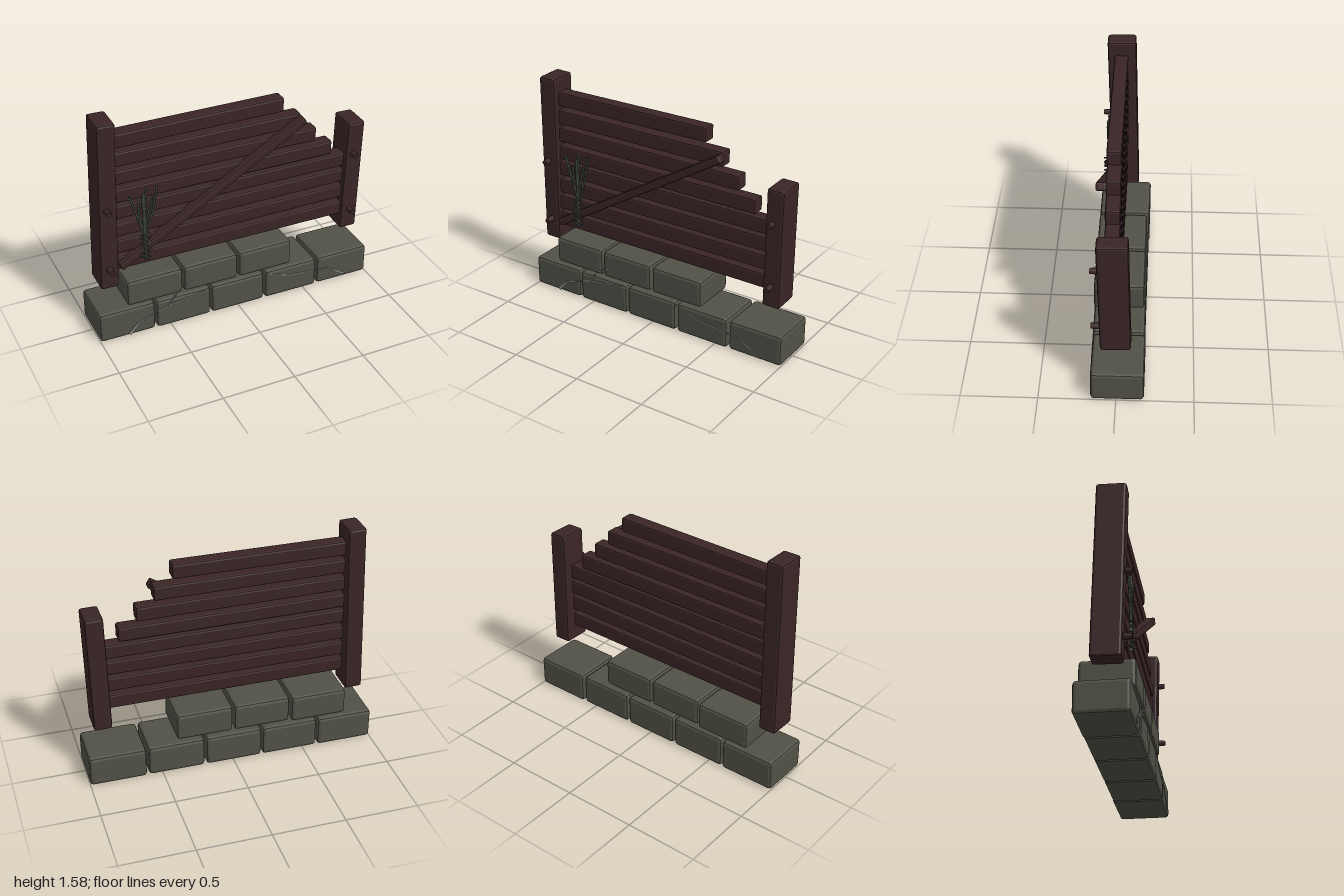
import * as THREE from 'three';
import { RoundedBoxGeometry } from 'three/addons/geometries/RoundedBoxGeometry.js';

const mat = (name, color, side = THREE.FrontSide) =>
  Object.assign(new THREE.MeshStandardMaterial({ color, side }), { name });

export function createModel() {
  const wood = mat('darkWood', 0x3a2526);
  const stone = mat('mossyStone', 0x515147);
  const crackGrey = mat('crackGrey', 0x8a8a88, THREE.DoubleSide);
  const green = mat('dryGreen', 0x3d463c);

  const model = new THREE.Group();
  model.name = 'brokenFence';
  const add = (name, geometry, material, x = 0, y = 0, z = 0, parent = model) => {
    const mesh = new THREE.Mesh(geometry, material);
    mesh.name = name;
    mesh.position.set(x, y, z);
    parent.add(mesh);
    return mesh;
  };

  // box with a single flat chamfer on every edge
  const chamferBox = (w, h, d, c) => {
    const g = new RoundedBoxGeometry(w, h, d, 1, c);
    g.computeVertexNormals();
    return g;
  };

  // stone courses: [x, y, z] centres
  const lower = [[-0.806, -0.008], [-0.405, -0.004], [-0.004, -0.004], [0.4, -0.004], [0.805, -0.008]];
  lower.forEach(([x, z], i) =>
    add('lowerStone' + (i + 1), chamferBox(0.39, 0.213, 0.344, 0.022), stone, x, 0.1065, z));
  const upper = [[-0.607, -0.007], [-0.205, 0.002], [0.198, 0.002]];
  upper.forEach(([x, z], i) =>
    add('upperStone' + (i + 1), chamferBox(0.39, 0.19, i ? 0.336 : 0.352, 0.022), stone, x, 0.333, z));

  // pebbles wedged in the joints
  for (const x of [-0.607, 0.603]) {
    add('jointPebble', chamferBox(0.024, 0.075, 0.04, 0.006), crackGrey, x, 0.08, -0.03);
  }

  // leaning posts
  const post = (name, x, height) => {
    const p = add(name, chamferBox(0.124, height, 0.195, 0.016), wood, x, 0.372 + height / 2, 0.003 + height * 0.012);
    p.rotation.set(0.023, 0, -0.019);
  };
  post('rightPost', -0.882, 1.205);
  post('leftPost', 0.882, 0.83);

  // planks from top to bottom: [right end, centre height, tilt]
  const planks = [
    [0.36, 1.426, 0.003], [0.485, 1.292, -0.003], [0.605, 1.162, -0.005], [0.728, 1.032, -0.004],
    [0.85, 0.915, -0.002], [0.85, 0.788, 0.004], [0.85, 0.662, 0.004], [0.85, 0.533, -0.002],
  ];
  planks.forEach(([end, y, tilt], i) => {
    const start = -0.86;
    const plank = add('plank' + (i + 1), chamferBox(end - start, 0.102, 0.095, 0.013), wood, (start + end) / 2, y, 0.033);
    plank.rotation.z = tilt;
  });

  // diagonal brace nailed over the planks
  const from = new THREE.Vector3(-0.815, 0.515, 0.085);
  const to = new THREE.Vector3(0.492, 1.315, 0.107);
  const brace = add('brace', chamferBox(0.068, 0.055, from.distanceTo(to), 0.012), wood);
  brace.position.copy(from).lerp(to, 0.5);
  brace.lookAt(to);

  // bolts on the posts
  for (const x of [-0.892, 0.873]) {
    for (const y of [0.522, 0.967]) {
      add('bolt', new THREE.CylinderGeometry(0.018, 0.022, 0.06, 10), wood, x, y, 0.13).rotation.x = Math.PI / 2;
    }
  }

  // cracks: tapering thin ribbons through [x, y, width]
  const crack = (points, z) => {
    const left = [], right = [];
    points.forEach(([x, y, w], i) => {
      const a = points[Math.max(i - 1, 0)], b = points[Math.min(i + 1, points.length - 1)];
      const dx = b[0] - a[0], dy = b[1] - a[1], k = w / 2 / Math.hypot(dx, dy);
      left.push(new THREE.Vector2(x - dy * k, y + dx * k));
      right.unshift(new THREE.Vector2(x + dy * k, y - dx * k));
    });
    const shape = new THREE.Shape([...left, ...right]);
    add('crack', new THREE.ExtrudeGeometry(shape, { depth: 0.005, bevelEnabled: false }), crackGrey, 0, 0, z);
  };
  crack([[-0.8, 0.015, 0.024], [-0.725, 0.09, 0.012], [-0.6, 0.137, 0.006], [-0.52, 0.163, 0.006],
    [-0.4, 0.18, 0.005], [-0.25, 0.203, 0.003]], 0.167);
  crack([[-0.52, 0.163, 0.008], [-0.46, 0.245, 0.007], [-0.42, 0.28, 0.005], [-0.34, 0.315, 0.003]], 0.171);
  crack([[0.2, 0.205, 0.003], [0.38, 0.143, 0.006], [0.54, 0.127, 0.006], [0.69, 0.115, 0.008],
    [0.77, 0.065, 0.012], [0.845, 0.018, 0.006]], 0.167);

  // dried plant: stems fanning out of one stalk
  const plant = new THREE.Group();
  plant.name = 'driedPlant';
  plant.position.set(-0.645, 0, 0.115);
  model.add(plant);
  const stems = [
    [[0, 0.54], [0, 0.8], [-0.002, 1.04]],
    [[0, 0.72], [-0.045, 0.87], [-0.095, 1.04]],
    [[0, 0.72], [0.055, 0.87], [0.095, 1.075]],
    [[0, 0.74], [-0.03, 0.85], [-0.035, 0.98]],
    [[0, 0.74], [0.028, 0.88], [0.06, 1.0]],
    [[0, 0.76], [0.008, 0.92], [0.018, 1.07]],
  ];
  stems.forEach((pts, i) => {
    const curve = new THREE.CatmullRomCurve3(pts.map(([x, y]) => new THREE.Vector3(x, y, 0)));
    add('stem', new THREE.TubeGeometry(curve, 8, i ? 0.008 : 0.012, 6), green, 0, 0, 0, plant);
    // small leaflets along the upper half of the stem
    for (let k = 0; k < 5; k++) {
      const p = curve.getPoint(0.5 + k * 0.12);
      const leaf = add('leaflet', new THREE.ConeGeometry(0.008, 0.035, 4), green, p.x, p.y, 0.004, plant);
      leaf.rotation.z = k % 2 ? 0.4 : -0.4;
    }
  });
  // pale tip
  add('paleTip', new THREE.ConeGeometry(0.007, 0.03, 5), crackGrey, 0.018, 1.075, 0, plant);
  // short whorls around the base
  for (let i = 0; i < 6; i++) {
    const y = 0.562 + i * 0.035;
    add('whorlBar', new THREE.BoxGeometry(0.068, 0.007, 0.012), green, 0, y, 0.006, plant).rotation.z = i % 2 ? 0.1 : -0.1;
    add('whorlSpike', new THREE.BoxGeometry(0.012, 0.008, 0.038), green, 0, y, 0.019, plant);
  }

  return model;
}
